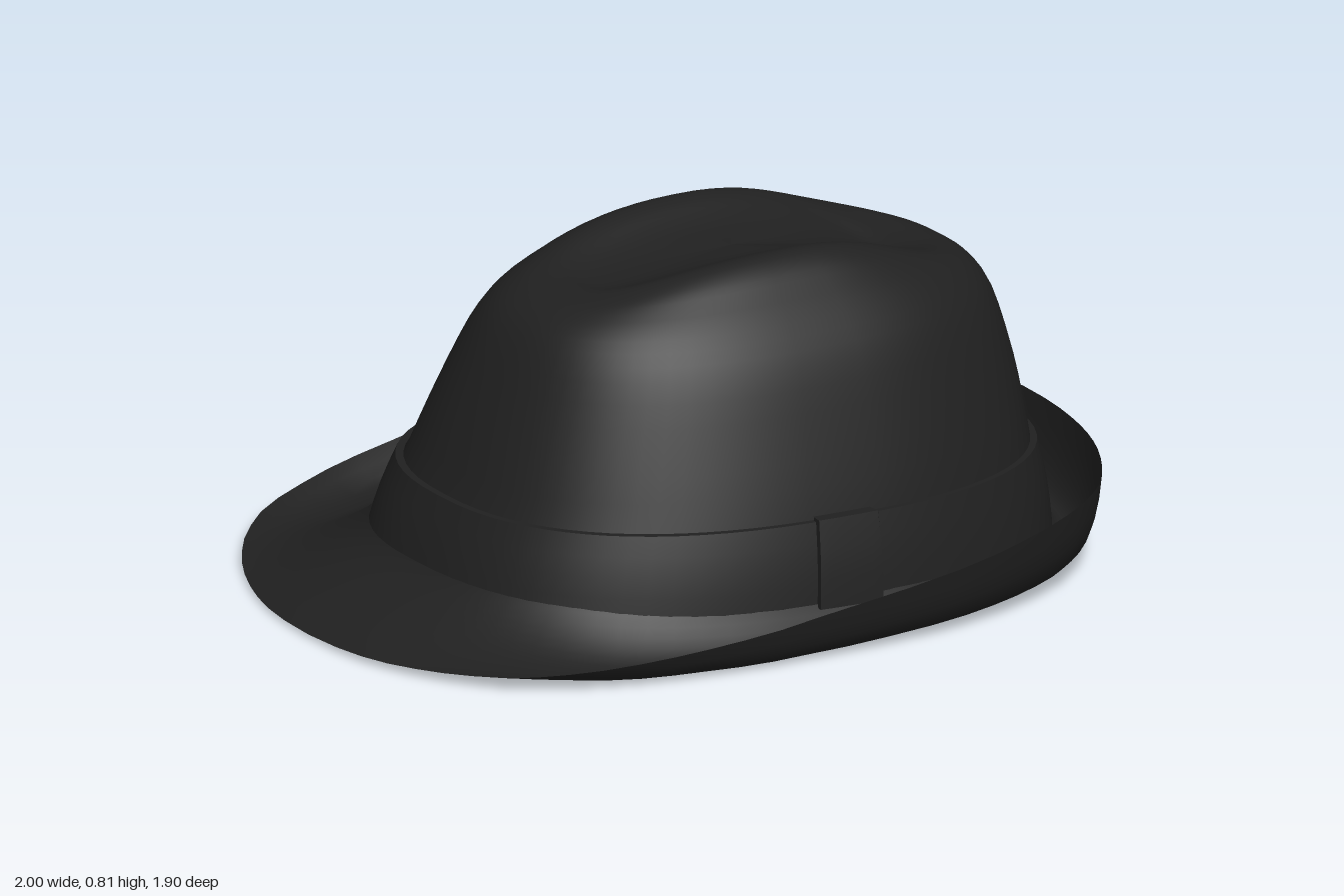
import * as THREE from 'three';

const SEG = 72;
const felt = new THREE.MeshStandardMaterial({ color: 0x202020, side: THREE.DoubleSide });
felt.name = 'black felt';

// Slightly skewed rounded oval: u runs from front (-) to back (+), v to the side
function oval(t, a, b, uc) {
  const c = Math.cos(t), s = Math.sin(t), e = 0.84;
  const u = a * Math.sign(c) * Math.abs(c) ** e;
  return [uc + u, 0.02 + 0.05 * u + b * Math.sign(s) * Math.abs(s) ** e];
}

// Skin over rows of points given by point(row, angle)
function loft(name, rows, point, from = 0, to = Math.PI * 2, seg = SEG) {
  const closed = to - from > 6.28, cols = closed ? seg : seg + 1;
  const pos = [], index = [];
  for (let r = 0; r < rows; r++)
    for (let i = 0; i < cols; i++) pos.push(...point(r, from + (to - from) * i / seg));
  for (let r = 0; r < rows - 1; r++)
    for (let i = 0; i < seg; i++) {
      const j = (i + 1) % cols;
      const a = r * cols + i, b = r * cols + j, c = a + cols, d = b + cols;
      index.push(a, c, b, b, c, d);
    }
  const g = new THREE.BufferGeometry();
  g.setAttribute('position', new THREE.Float32BufferAttribute(pos, 3));
  g.setIndex(index);
  g.computeVertexNormals();
  const mesh = new THREE.Mesh(g, felt);
  mesh.name = name;
  return mesh;
}

// Straight-line lookup in sorted knots [x, y]
function lookup(knots, x) {
  if (x <= knots[0][0]) return knots[0][1];
  for (let i = 1; i < knots.length; i++) {
    const [x0, y0] = knots[i - 1], [x1, y1] = knots[i];
    if (x <= x1) return y0 + (y1 - y0) * (x - x0) / (x1 - x0);
  }
  return knots[knots.length - 1][1];
}

// Brim outline [u, v], turned into radius by angle
const outline = [
  [-0.77, -0.643], [-0.647, -0.746], [-0.523, -0.792], [-0.177, -0.841], [0.131, -0.838],
  [0.382, -0.785], [0.661, -0.661], [0.825, -0.528], [0.926, -0.389], [0.99, -0.156], [0.995, 0.04],
  [0.976, 0.198], [0.912, 0.417], [0.785, 0.629], [0.686, 0.714], [0.46, 0.799], [0.173, 0.817],
  [-0.064, 0.79], [-0.325, 0.75], [-0.506, 0.704], [-0.665, 0.636], [-0.788, 0.548], [-0.891, 0.41],
  [-0.972, 0.223], [-0.997, 0.06], [-0.997, -0.092], [-0.97, -0.269], [-0.877, -0.495],
];
const polar = outline.map(([u, v]) => [Math.atan2(v, u), Math.hypot(u, v)]).sort((p, q) => p[0] - q[0]);
const last = polar[polar.length - 1];
const rim = [[last[0] - 2 * Math.PI, last[1]], ...polar, [polar[0][0] + 2 * Math.PI, polar[0][1]]];

// Heights along the hat: brim edge, and the pull that makes the brim dip
const edgeY = [[-1, 0.01], [-0.8, 0.026], [-0.6, 0.048], [-0.3, 0.083], [0, 0.128], [0.2, 0.155],
  [0.45, 0.188], [0.7, 0.215], [1, 0.22]];
const dipY = [[-1, 0.065], [-0.85, 0.0], [-0.6, -0.075], [-0.3, -0.1], [0, -0.11], [0.5, -0.095], [1, -0.075]];
const baseY = u => 0.08 - 0.04 * u;

// Crown rings: height, half length, half width, centre, end drop
const crown = [
  [0.15, 0.768, 0.583, 0.095, 0], [0.29, 0.73, 0.545, 0.112, 0], [0.45, 0.685, 0.49, 0.133, 0],
  [0.6, 0.63, 0.43, 0.148, 0], [0.69, 0.58, 0.37, 0.15, 0.15], [0.75, 0.525, 0.315, 0.15, 0.45],
  [0.79, 0.48, 0.275, 0.15, 0.8], [0.813, 0.43, 0.232, 0.15, 1], [0.808, 0.39, 0.19, 0.15, 1],
  [0.787, 0.33, 0.145, 0.15, 0.7], [0.768, 0.21, 0.09, 0.15, 0.3], [0.76, 0.001, 0.001, 0.15, 0],
];
const crownCurves = [0, 1, 2, 3, 4].map(k =>
  new THREE.CatmullRomCurve3(crown.map((c, i) => new THREE.Vector3(i, c[k], 0))));
const CROWN_ROWS = 34, BRIM_ROWS = 14;

function crownPoint(r, t) {
  const f = r / (CROWN_ROWS - 1);
  const [y, a, b, uc, w] = crownCurves.map(c => c.getPoint(f).y);
  const [u, v] = oval(t, Math.max(a, 0.001), Math.max(b, 0.001), uc);
  const c = Math.cos(t);
  const tilt = (baseY(u) - 0.08) * Math.max(0, 1 - f * 11);
  return [u, y + tilt - Math.max(w, 0) * c * c * (c > 0 ? 0.125 : 0.07), v];
}

// Brim: flows out of the crown wall, down at the front, curled up at back and sides
function brimPoint(s, t) {
  const k = 1 - s;
  const w = [k * k * k, 3 * k * k * s, 3 * k * s * s, s * s * s];
  const [bu, by, bv] = crownPoint(0, t);
  const angle = Math.atan2(bv, bu), radius = lookup(rim, angle);
  const eu = radius * Math.cos(angle), ev = radius * Math.sin(angle);
  const out = w[1] * 0.1 + w[2] * (0.78 + 0.1 * eu) + w[3];
  const y = w[0] * by + w[1] * (baseY(bu) - 0.025) + w[2] * lookup(dipY, eu)
    + w[3] * (lookup(edgeY, eu) + 0.016 * ev);
  return [bu + (eu - bu) * out, Math.max(y, 0), bv + (ev - bv) * out];
}

function bodyPoint(r, t) {
  return r < BRIM_ROWS ? brimPoint(1 - r / BRIM_ROWS, t) : crownPoint(r - BRIM_ROWS, t);
}

// Ribbon wrapped round the foot of the crown; off pushes outwards
function ribbonPoint(s, off, t) {
  const bulge = 0.005 * Math.sin(Math.PI * s) + off;
  const [u, v] = oval(t, 0.803 - 0.05 * s + bulge, 0.612 - 0.046 * s + bulge, 0.09 + 0.02 * s);
  const bottom = baseY(u) - 0.005, top = 0.27 - 0.025 * u;
  return [u, bottom + (top - bottom) * s, v];
}
// Repeated rows keep the top edge sharp
const bandRows = [[0, 0], [0.25, 0], [0.5, 0], [0.75, 0], [1, 0], [1, 0], [1, -0.018]];
const tabRows = [[0, -0.01], [0, 0.016], [0, 0.016], [0.35, 0.018], [0.7, 0.018], [1.04, 0.016],
  [1.04, 0.016], [1.04, -0.015]];

export function createModel() {
  const group = new THREE.Group();
  group.name = 'hat';
  const body = new THREE.Group();
  body.name = 'hatBody';
  body.rotation.y = Math.PI / 4;
  body.add(
    loft('brimAndCrown', BRIM_ROWS + CROWN_ROWS, bodyPoint),
    loft('band', bandRows.length, (r, t) => ribbonPoint(...bandRows[r], t)),
  );
  // Ribbon keeper on one side, with closed ends
  const t0 = 1.515, t1 = 1.65;
  body.add(loft('bandTab', tabRows.length, (r, t) => ribbonPoint(...tabRows[r], t), t0, t1, 6));
  for (const t of [t0, t1])
    body.add(loft('bandTabSide', 2, (r, q) => ribbonPoint(q * 1.04, r ? 0.017 : -0.01, t), 0, 1, 5));
  group.add(body);
  return group;
}
